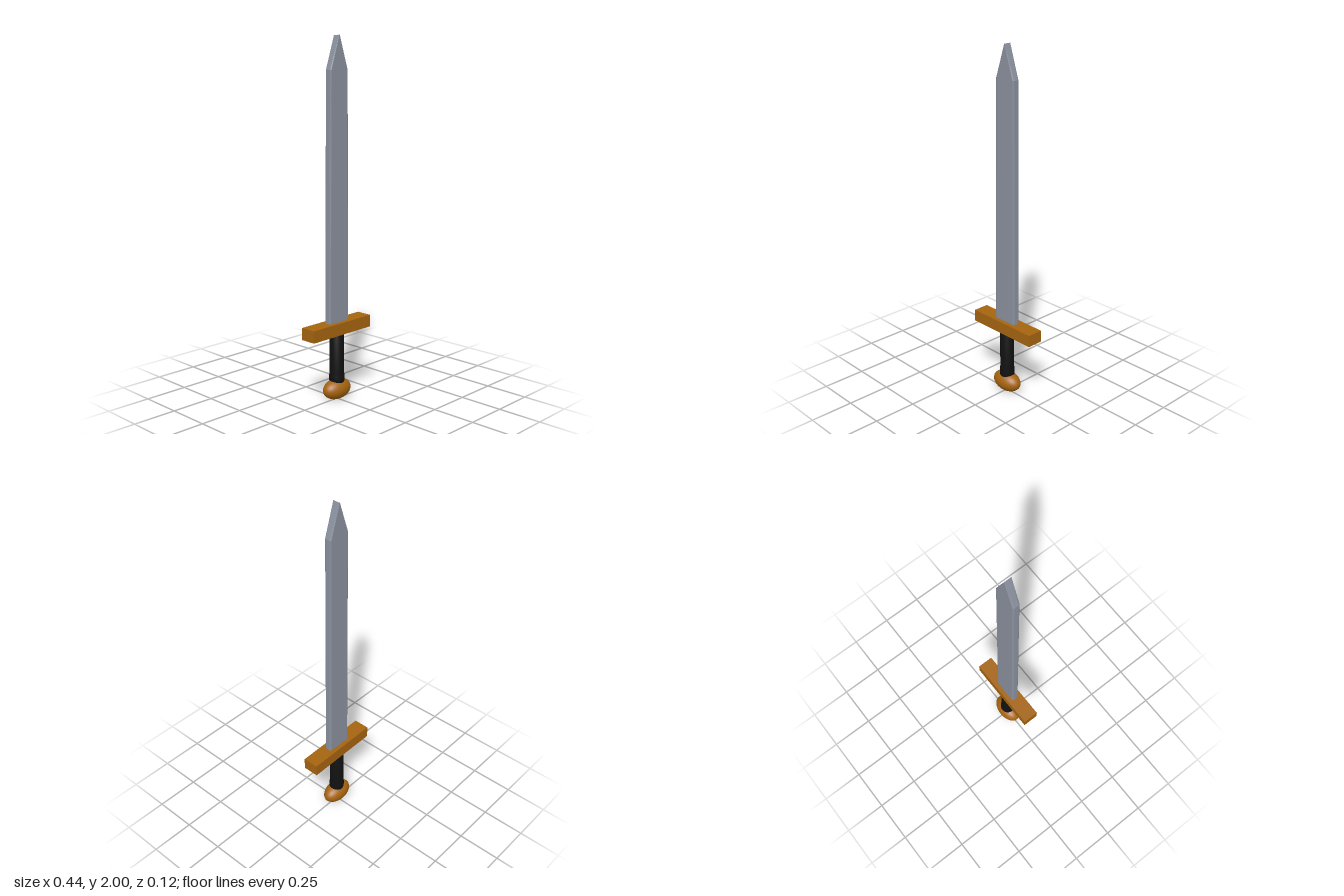
import * as THREE from 'three';

const mat = (name, color) => {
  const m = new THREE.MeshStandardMaterial({ color });
  m.name = name;
  return m;
};

// Rounded rectangle cross-section, centred on the origin
function roundedRect(w, d, r) {
  const s = new THREE.Shape();
  const corners = [[1, 1, 0], [-1, 1, 1], [-1, -1, 2], [1, -1, 3]];
  for (const [sx, sy, q] of corners) {
    s.absarc(sx * (w - r), sy * (d - r), r, q * Math.PI / 2, (q + 1) * Math.PI / 2, false);
  }
  s.closePath();
  return s;
}

// Section swept upwards, narrowing gently and then running to a point
function bladeGeometry() {
  const levels = [[0.43, 1], [1.82, 0.88], [2.0, 0.01]];
  const geo = new THREE.ExtrudeGeometry(roundedRect(0.075, 0.021, 0.01), {
    depth: 2, steps: 2, bevelEnabled: false, curveSegments: 3,
  });
  geo.rotateX(-Math.PI / 2);
  const p = geo.attributes.position;
  for (let i = 0; i < p.count; i++) {
    const [y, scale] = levels[Math.round(p.getY(i))];
    p.setX(i, p.getX(i) * scale);
    p.setY(i, y);
  }
  geo.computeVertexNormals();
  return geo;
}

export function createModel() {
  const group = new THREE.Group();
  const steel = mat('steel', 0x8a919e);
  const bronze = mat('bronze', 0xa5640f);
  const leather = mat('black leather', 0x111111);

  const add = (name, geometry, material, y = 0) => {
    const mesh = new THREE.Mesh(geometry, material);
    mesh.name = name;
    mesh.position.y = y;
    group.add(mesh);
    return mesh;
  };

  add('blade', bladeGeometry(), steel);
  add('guard', new THREE.BoxGeometry(0.444, 0.068, 0.092), bronze, 0.414);

  // Grip with a slightly wider collar above the pommel
  const profile = [[0, 0.09], [0.04, 0.1], [0.043, 0.108], [0.043, 0.14], [0.04, 0.155], [0.04, 0.385], [0, 0.385]]
    .map(([r, y]) => new THREE.Vector2(r, y));
  add('grip', new THREE.LatheGeometry(profile, 24), leather);

  // Wide oval pommel
  add('pommel', new THREE.SphereGeometry(1, 32, 20), bronze, 0.058).scale.set(0.094, 0.058, 0.058);

  return group;
}
